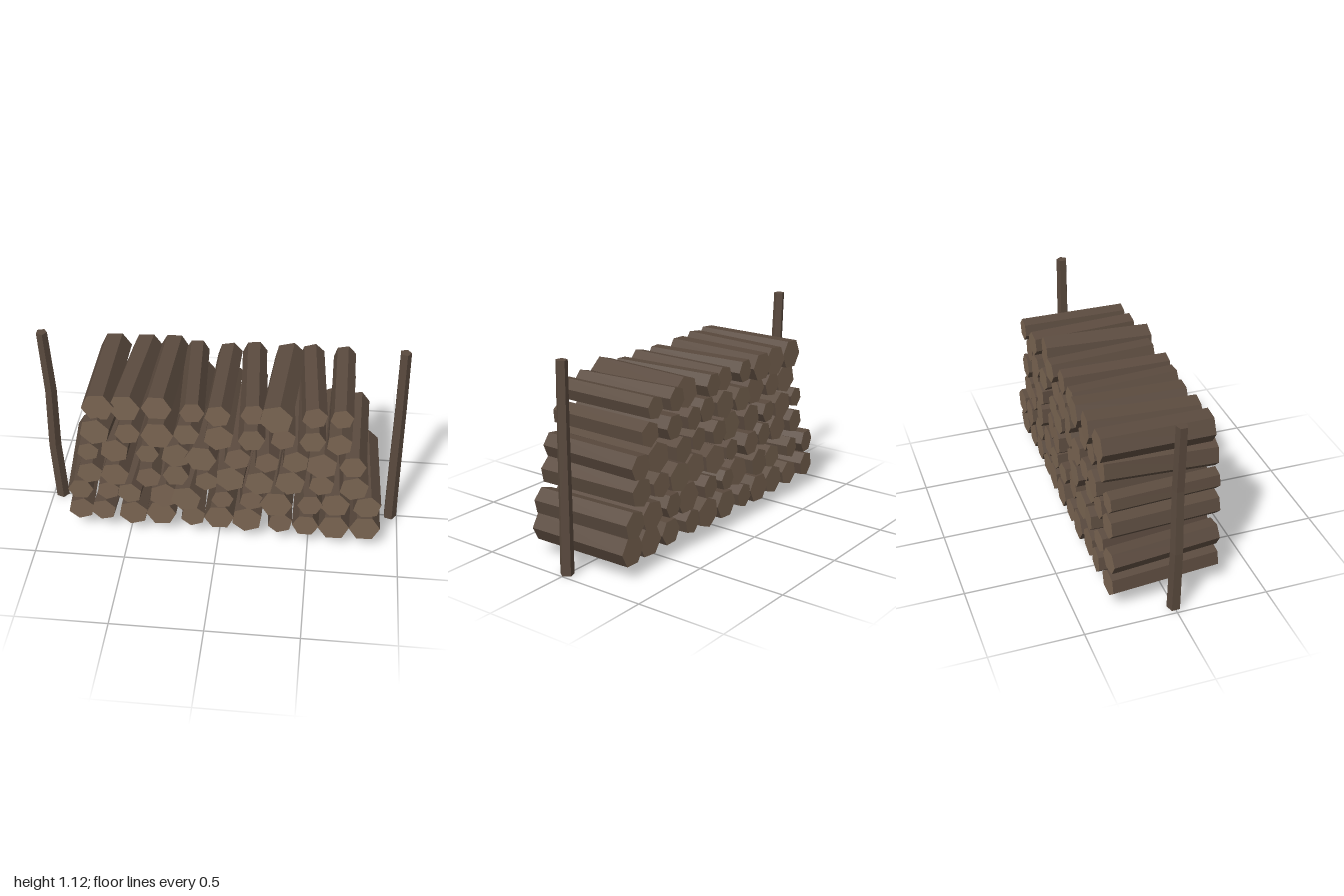
import * as THREE from 'three';

// Log radii in hundredths, row by row from the ground up, each from -x to +x
const rowRadii = [
  [7.4, 7.2, 8.4, 8.5, 7, 8.4, 8.7, 7, 7.4, 8.6, 8.5],
  [7, 6.4, 7, 8.6, 8.6, 6.2, 6.8, 9, 7, 8.2, 7.8],
  [7.2, 8, 7, 7.2, 6.4, 8.5, 8.2, 8.4, 7, 8],
  [6, 8, 6.3, 8.2, 8.6, 7.2, 6.8, 7.4, 8.6, 7.2],
  [8.5, 7, 8.8, 7.2, 8.2, 7.2, 6.8, 7, 7],
  [8.7, 8.7, 8.2, 6.6, 7, 6.8, 9, 6.8, 6.2],
];
// How far each log's rear end drifts sideways from its front end, in hundredths
const rowDrift = [
  [-5, 2, 0, 1, -3, 0, 1, -4, 0, 1, -1],
  [-6, -5, 3, -4, 4, -4, -4, 1, -4, 1, -2],
  [-3, 1, -4, -1, -3, 4, 4, 3, 1, -2],
  [-3, 1, -3, -2, 3, -4, -4, -2, 2, 1],
  [4, 1, 1, 3, 0, -3, -4, -3, 1],
  [0, 4, 2, -4, 1, -4, 4, -4, 0],
];
const rowZ = [-0.012, 0, 0.004, 0.004, 0.002, -0.012];
const LENGTH = 0.6;
const SPACING = 0.16;
const ROW_STEP = 0.1435;

// Small seeded generator, returning -1 to 1
let seed;
function jitter() {
  seed = (seed * 16807) % 2147483647;
  return (seed / 2147483647) * 2 - 1;
}

// Six-sided log lying along z, with a random spin, skewed about its middle
function makeLog(x, y, radius, drift, materials) {
  const spin = Math.PI / 2 + 0.2 + jitter() * 0.25;
  const geo = new THREE.CylinderGeometry(radius, radius, LENGTH, 6, 1, false, spin);
  geo.rotateX(Math.PI / 2);
  const log = new THREE.Mesh(geo, materials);
  log.name = 'log';
  log.position.set(x, y, jitter() * 0.02);
  log.rotation.y = Math.asin(-drift / LENGTH);
  return log;
}

// Five-sided stake whose rings are shifted sideways to give a natural bend
function makePost(name, centers, material) {
  const height = 1.125;
  const n = centers.length - 1;
  const geo = new THREE.CylinderGeometry(0.031, 0.038, height, 5, n, false, Math.PI / 2);
  geo.translate(0, height / 2, 0);
  const p = geo.attributes.position;
  for (let i = 0; i < p.count; i++) {
    const ring = Math.round((p.getY(i) / height) * n);
    p.setX(i, p.getX(i) + centers[ring]);
  }
  geo.computeVertexNormals();
  const post = new THREE.Mesh(geo, material);
  post.name = name;
  return post;
}

export function createModel() {
  seed = 4217;
  const bark = new THREE.MeshStandardMaterial({ color: 0x5a4a3e, flatShading: true });
  bark.name = 'bark';
  const cutWood = new THREE.MeshStandardMaterial({ color: 0x7a6552, flatShading: true });
  cutWood.name = 'cut wood';

  const model = new THREE.Group();
  model.name = 'firewoodStack';

  // Stacked logs, evenly spaced and centred in each row
  rowRadii.forEach((radii, i) => {
    const row = new THREE.Group();
    row.name = `logRow${i + 1}`;
    row.position.set(0.004, 0.148 + i * ROW_STEP, rowZ[i]);
    radii.forEach((r, j) => {
      const x = (j - (radii.length - 1) / 2) * SPACING;
      row.add(makeLog(x, jitter() * 0.004, r / 100, rowDrift[i][j] / 100, [bark, cutWood, cutWood]));
    });
    model.add(row);
  });

  // Stakes at both ends
  model.add(makePost('rightPost', [-0.948, -0.965, -0.957, -0.975], bark));
  model.add(makePost('leftPost', [0.96, 0.957, 0.956, 0.952], bark));
  return model;
}
